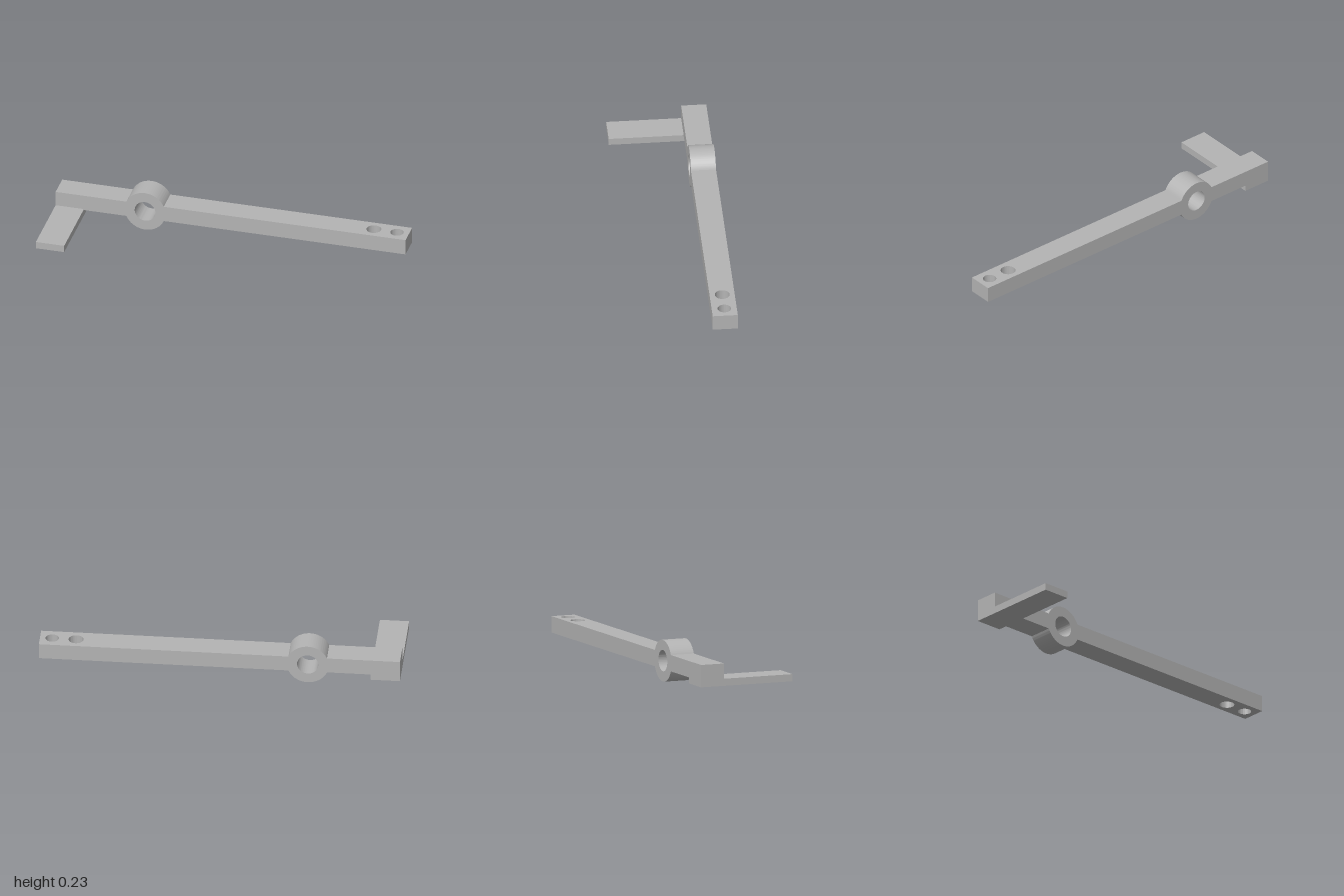
import * as THREE from 'three';
import { toCreasedNormals } from 'three/addons/utils/BufferGeometryUtils.js';

const BACK = -0.277, FRONT = 0.277, ARM_FRONT = -0.138;
const BOTTOM = 0.071, TOP = 0.162, SPLIT = 0.7;
const PAD_LOW = 0.037, PAD_HIGH = 0.077, PAD_EDGE = -0.838;

function hole(shape, x, y, radius) {
  shape.holes.push(new THREE.Path().absarc(x, y, radius, 0, Math.PI * 2, true));
}

function extrude(shape, depth) {
  const geometry = new THREE.ExtrudeGeometry(shape, { depth, bevelEnabled: false, curveSegments: 40 });
  return toCreasedNormals(geometry, 0.5);
}

export function createModel() {
  const group = new THREE.Group();
  const grey = new THREE.MeshStandardMaterial({ color: 0xb4b4b4 });
  grey.name = 'plain grey';

  function add(name, geometry) {
    const mesh = new THREE.Mesh(geometry, grey);
    mesh.name = name;
    group.add(mesh);
    return mesh;
  }

  // Arm with pivot hub and the stepped end above the pedal, drawn in front profile
  const hubX = -0.489, hubY = (BOTTOM + TOP) / 2, hubR = 0.116;
  const a = Math.asin((TOP - BOTTOM) / 2 / hubR);
  const profile = new THREE.Shape();
  profile.moveTo(-1, PAD_LOW);
  profile.lineTo(PAD_EDGE, PAD_LOW);
  profile.lineTo(PAD_EDGE, BOTTOM);
  profile.absarc(hubX, hubY, hubR, Math.PI + a, Math.PI * 2 - a, false);
  profile.lineTo(SPLIT, BOTTOM);
  profile.lineTo(SPLIT, TOP);
  profile.absarc(hubX, hubY, hubR, a, Math.PI - a, false);
  profile.lineTo(-1, TOP);
  profile.closePath();
  hole(profile, hubX, hubY, 0.059);
  add('armWithHub', extrude(profile, ARM_FRONT - BACK)).position.z = BACK;

  // Far end of the arm with two vertical through holes, drawn from above
  const plan = new THREE.Shape();
  plan.moveTo(SPLIT, -ARM_FRONT);
  plan.lineTo(1, -ARM_FRONT);
  plan.lineTo(1, -BACK);
  plan.lineTo(SPLIT, -BACK);
  plan.closePath();
  hole(plan, 0.8, 0.208, 0.041);
  hole(plan, 0.932, 0.208, 0.037);
  const end = add('drilledEnd', extrude(plan, TOP - BOTTOM));
  end.rotation.x = -Math.PI / 2;
  end.position.y = BOTTOM;

  // Flat pedal reaching forward from the stepped end
  const pedal = add('pedal', new THREE.BoxGeometry(PAD_EDGE + 1, PAD_HIGH - PAD_LOW, FRONT - ARM_FRONT));
  pedal.position.set((PAD_EDGE - 1) / 2, (PAD_LOW + PAD_HIGH) / 2, (FRONT + ARM_FRONT) / 2);

  return group;
}
